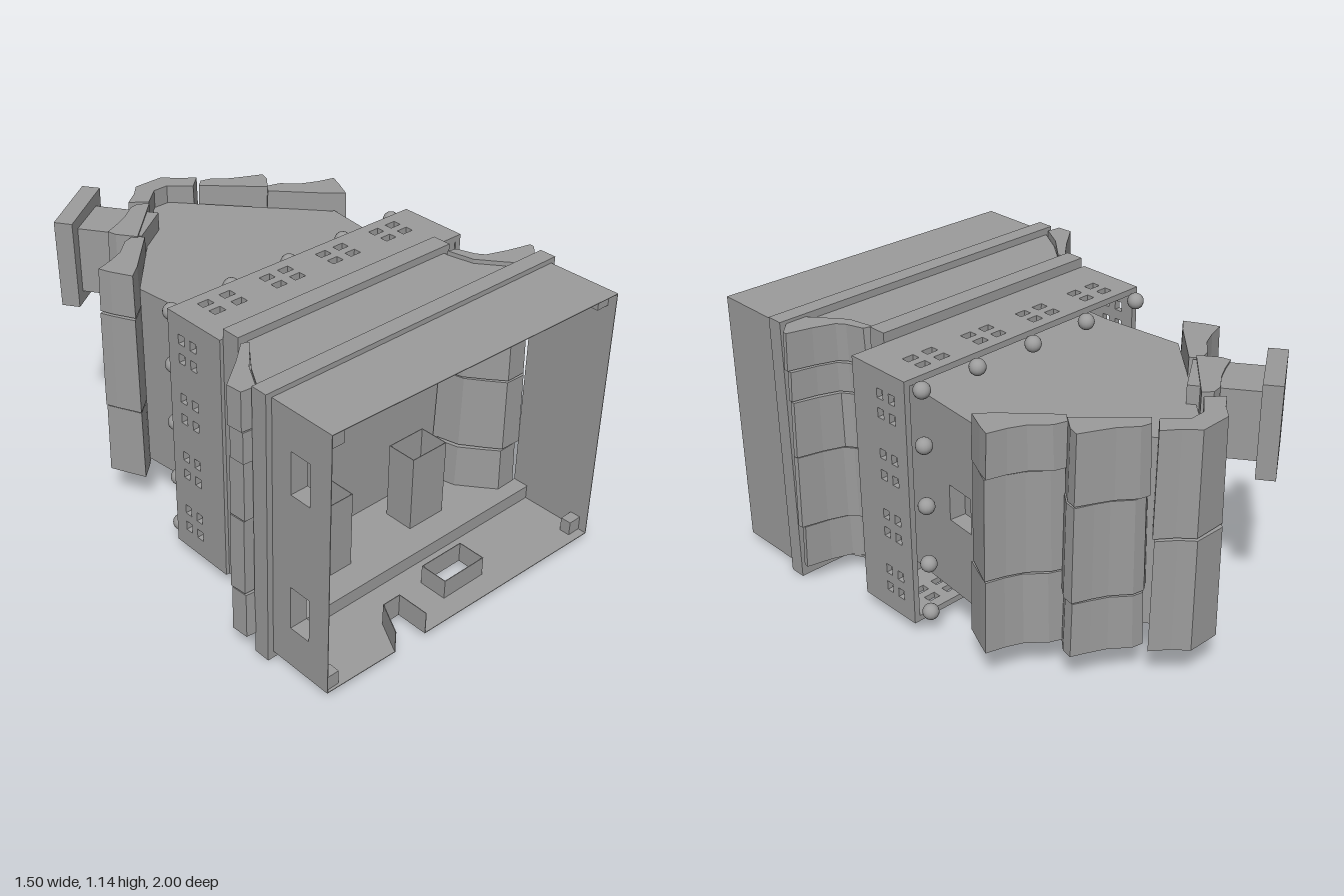
import * as THREE from 'three';

const color = 0x9c9c9c;
const material = new THREE.MeshStandardMaterial({ color, flatShading: true, side: THREE.DoubleSide });
const smooth = new THREE.MeshStandardMaterial({ color });

let seed = 7;
const jitter = (a) => {
  seed = (seed * 16807) % 2147483647;
  return (seed / 2147483647 - 0.5) * 2 * a;
};

const rect = (a0, a1, b0, b1) => [[a0, b0], [a1, b0], [a1, b1], [a0, b1]];

// Outline extruded along an axis; points are [x,z] for 'y', [z,y] for 'x', [x,y] for 'z'
function slabGeometry(axis, points, from, to, holes = []) {
  const map = ([a, b]) => axis === 'y' ? new THREE.Vector2(a, -b)
    : axis === 'x' ? new THREE.Vector2(-a, b) : new THREE.Vector2(a, b);
  const shape = new THREE.Shape(points.map(map));
  shape.holes = holes.map((h) => new THREE.Path(h.map(map)));
  const g = new THREE.ExtrudeGeometry(shape, { depth: to - from, bevelEnabled: false });
  g.translate(0, 0, from);
  if (axis === 'y') g.rotateX(-Math.PI / 2);
  if (axis === 'x') g.rotateY(Math.PI / 2);
  return g;
}

export function createModel() {
  const root = new THREE.Group();
  root.name = 'house';

  const slab = (name, axis, points, from, to, holes, parent = root) => {
    const m = new THREE.Mesh(slabGeometry(axis, points, from, to, holes), material);
    m.name = name;
    parent.add(m);
    return m;
  };
  const ball = (name, x, y, z, r) => {
    const m = new THREE.Mesh(new THREE.SphereGeometry(r, 16, 12), smooth);
    m.name = name;
    m.position.set(x, y, z);
    root.add(m);
  };

  // Open plinth: thin walls with door and window openings
  const plinthWindow = rect(-0.01, 0.2, 0.78, 0.9);
  const sideWindows = [[0.2, 0.39], [0.78, 0.96]];
  const door = [[-0.2, 0.985], [-0.2, 0.85], [-0.28, 0.85], [-0.35, 0.983]];
  slab('plinthFacade', 'y', [[-0.675, 0.69], [0.7, 0.69], [0.7, 1], ...door, [-0.675, 0.975]],
    0.03, 0.033, [plinthWindow]);
  slab('plinthRear', 'y', [[-0.675, 0.69], [0.7, 0.69], [0.7, 1], [-0.675, 0.975]], 1.117, 1.12);
  slab('plinthLeftWall', 'x', rect(0.69, 1, 0.03, 1.12), 0.697, 0.7);
  slab('plinthRightWall', 'x', rect(0.69, 0.975, 0.03, 1.12), -0.675, -0.672,
    sideWindows.map(([a, b]) => rect(0.78, 0.88, a, b)));
  for (const x of [-0.645, 0.665])
    for (const y of [0.06, 1.085])
      slab('cornerBlock', 'z', rect(x - 0.027, x + 0.032, y - 0.027, y + 0.032), 0.92, 0.965);

  // Window and door reveals pushed into the hollow interior
  const inset = (r, d) => {
    const [a, c] = [r[0], r[2]];
    return rect(a[0] + d, c[0] - d, a[1] + d, c[1] - d);
  };
  slab('plinthWindowReveal', 'y', plinthWindow, 0.03, 0.115, [inset(plinthWindow, 0.003)]);
  for (const [a, b] of sideWindows) {
    const r = rect(0.78, 0.88, a, b);
    slab('sideWindowReveal', 'x', r, -0.675, -0.6, [inset(r, 0.003)]);
  }
  slab('doorReveal', 'y', [...door, [-0.353, 0.983], [-0.282, 0.847], [-0.197, 0.847], [-0.197, 0.985]], 0.03, 0.125);

  // Cornice ring between plinth and first storey
  slab('cornice', 'z', rect(-0.7, 0.72, 0, 1.14), 0.62, 0.69, [rect(-0.67, 0.7, 0.09, 1.11)]);
  for (let i = 0; i < 5; i++) ball('corniceStud', -0.55 + i * 0.265, 0.04, 0.605, 0.025);

  // First storey shell with tall window shafts
  const shafts = [rect(-0.35, -0.18, 0.44, 0.57), rect(0.14, 0.32, 0.44, 0.57)];
  const flare = [[-0.5, 0.35], [-0.5, 0.37], [-0.6, 0.5], [-0.67, 0.62]];
  const storey = [[0.46, 0.35], [0.5, 0.4], [0.6, 0.62], ...[...flare].reverse()];
  slab('storeyFacade', 'y', storey, 0.08, 0.09, shafts);
  slab('storeyRear', 'y', storey, 1.1, 1.11);
  slab('storeySideWall', 'y', [...flare, ...flare.map(([x, z]) => [x - 0.008, z]).reverse()], 0.09, 1.1);
  for (const r of shafts) slab('windowShaft', 'y', r, 0.08, 0.42, [inset(r, 0.003)]);

  // Uneven roof tiles, one section per row, split along the ridge direction
  const tileRow = (name, section, cuts) => {
    const cx = section.reduce((s, q) => s + q[0], 0) / section.length;
    const cz = section.reduce((s, q) => s + q[1], 0) / section.length;
    for (let i = 0; i < cuts.length - 1; i++) {
      const [dx, dz] = [jitter(0.006), jitter(0.006)];
      const pts = section.map(([x, z]) => [x + dx + jitter(0.003), z + dz + jitter(0.003)]);
      const m = slab(name, 'y', pts, cuts[i] + 0.003, cuts[i + 1] - 0.003);
      const p = m.geometry.attributes.position;
      const mid = (cuts[i] + cuts[i + 1]) / 2;
      for (let k = 0; k < p.count; k++)
        if (p.getY(k) > mid) {
          p.setX(k, cx + (p.getX(k) - cx) * 0.96);
          p.setZ(k, cz + (p.getZ(k) - cz) * 0.96);
        }
      m.geometry.computeVertexNormals();
    }
  };
  const skirtCuts = [0.087, 0.28, 0.6, 0.842, 0.97, 1.13];
  tileRow('skirtTile', [[0.46, 0.365], [0.5, 0.38], [0.53, 0.455], [0.555, 0.49], [0.64, 0.52], [0.745, 0.545],
    [0.745, 0.565], [0.69, 0.62], [0.6, 0.62], [0.55, 0.56], [0.49, 0.48]], skirtCuts);
  tileRow('skirtTile', [[-0.51, 0.385], [-0.54, 0.375], [-0.63, 0.455], [-0.745, 0.545], [-0.74, 0.615],
    [-0.68, 0.62], [-0.615, 0.51]], skirtCuts);

  // Balcony floor band and pierced parapet
  slab('balconyBand', 'z', rect(-0.54, 0.5, 0.06, 1.14), 0.28, 0.36);
  slab('balconyFloor', 'z', rect(-0.53, 0.62, 0.08, 1.08), 0.23, 0.28);
  const pierce = (centres, w) => centres.flatMap((c) =>
    [0.048, 0.115].map((z) => [c - w, c + w, z - 0.017, z + 0.017]));
  const acrossX = pierce([-0.43, -0.33, -0.14, -0.05, 0.14, 0.23, 0.42, 0.51], 0.025).map((h) => rect(...h));
  const acrossY = pierce([0.16, 0.24, 0.41, 0.49, 0.66, 0.75, 0.92, 1.0], 0.02)
    .map(([a, b, c, d]) => rect(c + 0.012, d + 0.012, a, b));
  slab('parapetFront', 'y', rect(-0.555, 0.65, -0.015, 0.28), 0.06, 0.085, acrossX);
  slab('parapetRear', 'y', rect(-0.555, 0.65, -0.015, 0.28), 1.075, 1.1, acrossX);
  slab('parapetLeft', 'x', rect(-0.015, 0.28, 0.085, 1.075), 0.625, 0.65, acrossY);
  slab('parapetRight', 'x', rect(-0.015, 0.28, 0.085, 1.075), -0.555, -0.53, acrossY);
  const ballX = [-0.515, -0.235, 0.05, 0.33, 0.595], ballY = [0.105, 0.325, 0.58, 0.835, 1.06];
  for (const x of ballX) for (const y of [ballY[0], ballY[4]]) ball('parapetBall', x, y, -0.045, 0.033);
  for (const y of ballY.slice(1, 4)) for (const x of [ballX[0], ballX[4]]) ball('parapetBall', x, y, -0.045, 0.033);

  // Gabled tower: solid core, pierced facade and leaning side wall
  const gable = [[-0.41, 0.25], [-0.405, 0], [-0.44, -0.34], [0.03, -0.87], [0.09, -0.87], [0.56, -0.34], [0.495, -0.34], [0.44, 0.25]];
  const arch = [[-0.04, 0.06], [0.17, 0.06]];
  for (let i = 0; i <= 8; i++) {
    const a = (i / 8) * Math.PI;
    arch.push([0.065 + 0.105 * Math.cos(a), -0.07 - 0.105 * Math.sin(a)]);
  }
  slab('towerCore', 'y', gable, 0.32, 1.0);
  slab('towerFacade', 'y', gable, 0.22, 0.32,
    [arch, rect(0.3, 0.42, -0.23, -0.11), rect(-0.3, -0.18, -0.23, -0.11), rect(0.01, 0.13, -0.65, -0.54)]);
  slab('towerSideWall', 'x', rect(-0.4, 0.25, 0.22, 1.0), 0.458, 0.528, [rect(-0.3, -0.17, 0.53, 0.68)])
    .rotation.y = -0.1;

  // Main roof: two mirrored rows of sagging tiles per slope, and ridge caps
  const axisX = 0.06;
  const eave = [[0.375, -0.545], [0.405, -0.585], [0.46, -0.565], [0.53, -0.505], [0.6, -0.472], [0.675, -0.45],
    [0.655, -0.4], [0.61, -0.31], [0.55, -0.36]];
  const upper = [[0.18, -0.77], [0.215, -0.8], [0.26, -0.79], [0.33, -0.735], [0.39, -0.705], [0.46, -0.675],
    [0.45, -0.63], [0.395, -0.56]];
  const mirror = (pts) => pts.map(([x, z]) => [2 * axisX - x, z]);
  for (const side of [(p) => p, mirror]) {
    tileRow('eaveTile', side(eave), [0.165, 0.475, 0.895, 1.08]);
    tileRow('upperTile', side(upper), [0.16, 0.395, 0.795, 1.085]);
  }
  tileRow('ridgeCap', [[-0.06, -0.79], [-0.125, -0.845], [-0.06, -0.895], [-0.01, -0.95], [0.13, -0.95], [0.18, -0.895],
    [0.245, -0.845], [0.18, -0.79], [0.095, -0.865], [0.025, -0.865]], [0.17, 0.645, 1.08]);

  // Dormer window standing out of the right slope
  const dormer = new THREE.Group();
  dormer.name = 'dormer';
  dormer.position.set(-0.365, 0.935, -0.905);
  dormer.rotation.y = Math.atan2(-0.57, -0.82);
  slab('dormerFrame', 'z', [[-0.15, -0.19], [0.15, -0.19], [0.16, 0.185], [-0.16, 0.195]], -0.075, 0,
    [rect(-0.09, 0.09, -0.12, 0.1)], dormer);
  slab('dormerNeck', 'z', rect(-0.105, 0.105, -0.14, 0.14), -0.34, -0.07, [], dormer);
  root.add(dormer);

  return root;
}
